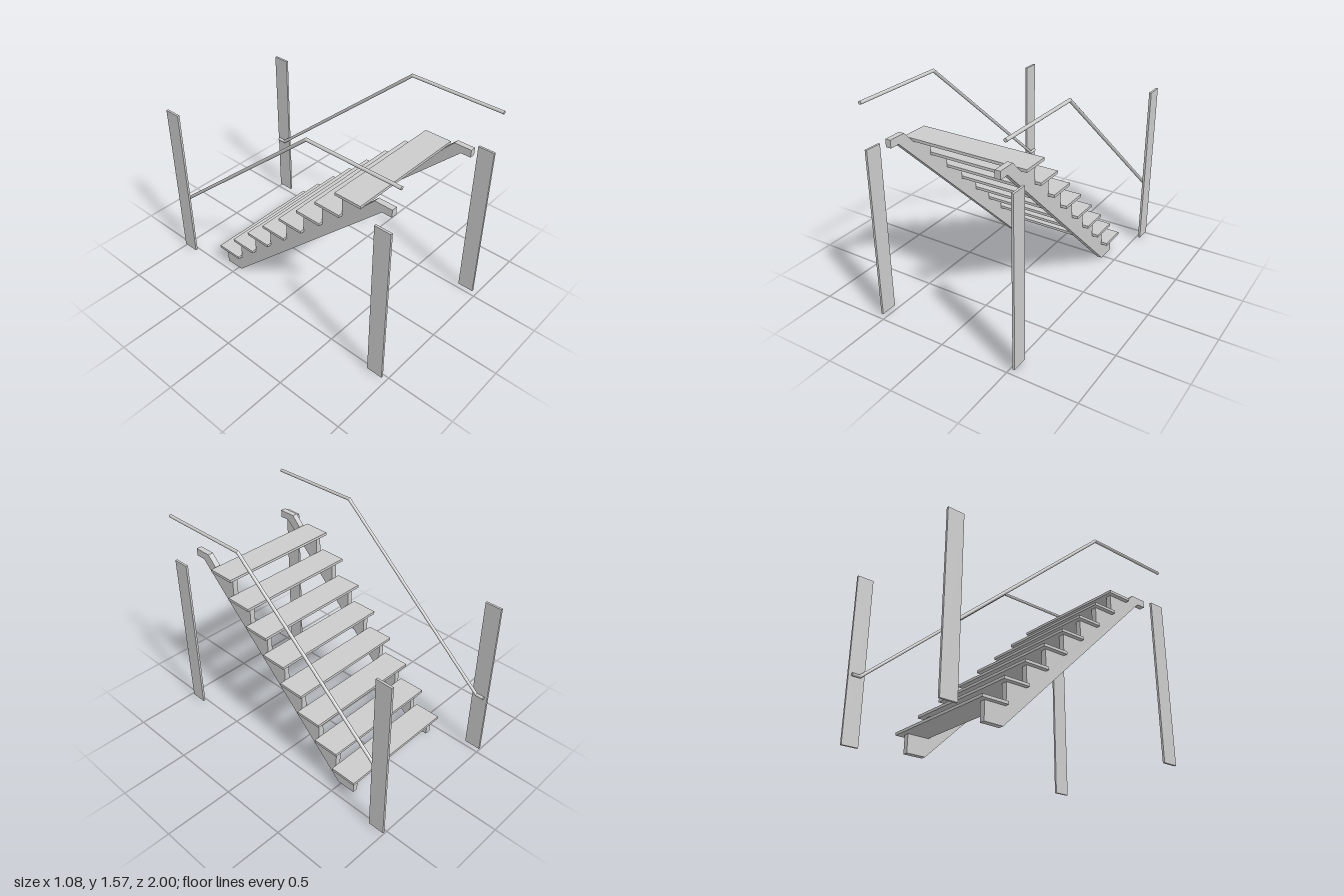
import * as THREE from 'three';

const STEPS = 8;
const RISE = 0.1565;

export function createModel() {
  const model = new THREE.Group();
  const material = new THREE.MeshStandardMaterial({ color: 0xcccccc, flatShading: true });

  function add(name, geometry, x = 0, y = 0, z = 0) {
    const mesh = new THREE.Mesh(geometry, material);
    mesh.name = name;
    mesh.position.set(x, y, z);
    model.add(mesh);
  }

  // Treads climb towards +z
  const tread = new THREE.BoxGeometry(0.917, 0.02, 0.2);
  for (let i = 0; i < STEPS; i++) {
    add(`tread${i + 1}`, tread, -0.0085, 0.145 + RISE * i, -0.558 + 0.1636 * i);
  }

  // Sawtooth stringers: side profile as [z, y], extruded across x
  const profile = [[-0.475, 0.005], [-0.616, 0.005]];
  for (let i = 0; i < STEPS; i++) {
    const y = 0.135 + RISE * i;
    const next = i === STEPS - 1 ? 0.684 : -0.616 + 0.1623 * (i + 1);
    profile.push([-0.616 + 0.1623 * i, y], [next, y]);
  }
  profile.push([0.765, 1.315], [0.893, 1.315], [0.893, 1.26], [0.82, 1.26]);
  const shape = new THREE.Shape(profile.map(([z, y]) => new THREE.Vector2(-z, y)));
  const stringer = new THREE.ExtrudeGeometry(shape, { depth: 0.04, bevelEnabled: false });
  stringer.rotateY(Math.PI / 2);
  add('leftStringer', stringer, 0.365);
  add('rightStringer', stringer, -0.435);

  // Flat posts and bent handrails on both sides
  const post = new THREE.BoxGeometry(0.016, 1.225, 0.12);
  const rail = bentRod([[-0.98, 0.5], [-0.92, 0.5], [0.305, 1.567], [1, 1.567]], 0.0115);
  for (const [side, s] of [['left', 1], ['right', -1]]) {
    add(`${side}UpperPost`, post, s * 0.532, 0.6325, 0.91);
    add(`${side}LowerPost`, post, s * 0.532, 0.6325, -0.94);
    add(`${side}Handrail`, rail, s * 0.511);
  }
  return model;
}

// Round rod with mitred bends along a path of [z, y] points
function bentRod(path, radius) {
  const points = path.map(([z, y]) => new THREE.Vector2(z, y));
  const last = points.length - 1;
  const geometry = new THREE.CylinderGeometry(radius, radius, 1, 12, last);
  const position = geometry.attributes.position;
  const direction = (i) => points[i + 1].clone().sub(points[i]).normalize();
  for (let v = 0; v < position.count; v++) {
    const i = Math.round((position.getY(v) + 0.5) * last);
    const before = direction(Math.max(i - 1, 0));
    const after = direction(Math.min(i, last - 1));
    const tangent = before.clone().add(after).normalize();
    const offset = position.getZ(v) / tangent.dot(after);
    position.setY(v, points[i].y - tangent.x * offset);
    position.setZ(v, points[i].x + tangent.y * offset);
  }
  geometry.computeVertexNormals();
  return geometry;
}
